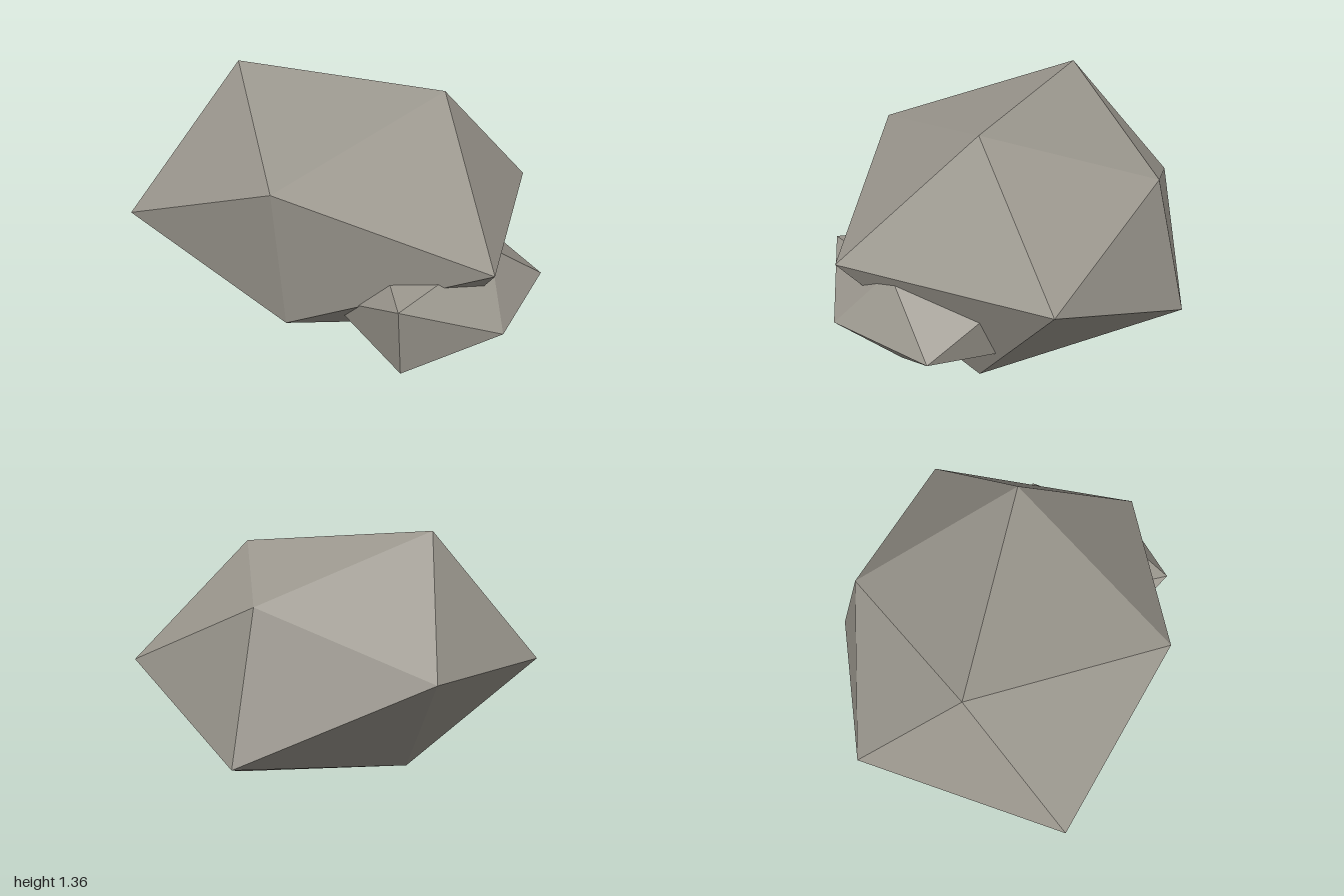
import * as THREE from 'three';

// The twenty triangles joining the twelve corners of an icosahedron
const FACES = [
  0, 11, 5, 0, 5, 1, 0, 1, 7, 0, 7, 10, 0, 10, 11,
  1, 5, 9, 5, 11, 4, 11, 10, 2, 10, 7, 6, 7, 1, 8,
  3, 9, 4, 3, 4, 2, 3, 2, 6, 3, 6, 8, 3, 8, 9,
  4, 9, 5, 2, 4, 11, 6, 2, 10, 8, 6, 7, 9, 8, 1,
];

// An uneven boulder: an icosahedron with each corner moved to its own place
function boulder(name, corners, material) {
  const indexed = new THREE.BufferGeometry();
  indexed.setAttribute('position', new THREE.Float32BufferAttribute(corners.flat(), 3));
  indexed.setIndex(FACES);
  const geometry = indexed.toNonIndexed();
  geometry.computeVertexNormals();
  const mesh = new THREE.Mesh(geometry, material);
  mesh.name = name;
  return mesh;
}

export function createModel() {
  const stone = new THREE.MeshStandardMaterial({ color: 0x9a968d, flatShading: true });
  stone.name = 'stone';

  const group = new THREE.Group();
  group.name = 'rocks';

  group.add(boulder('largeRock', [
    [-0.64, 1.355, 0], [0.455, 1.315, 0], [-0.52, 0.18, 0], [0.515, 0, 0], // top and bottom ridges
    [-0.08, 0.36, 0.77], [-0.08, 1.08, 0.87], [-0.08, 0.3, -0.88], [-0.08, 1.01, -0.7], // front and back
    [0.8, 0.695, -0.54], [0.85, 0.695, 0.58], [-0.89, 0.695, -0.5], [-1, 0.695, 0.58], // sides
  ], stone));

  group.add(boulder('smallRock', [
    [0.21, 0.66, 0.32], [0.78, 0.685, 0.32], [0.2, 0.135, 0.32], [0.74, 0.155, 0.32],
    [0.49, 0.225, 0.79], [0.49, 0.6, 0.855], [0.49, 0.21, -0.21], [0.49, 0.6, -0.25],
    [1, 0.4, -0.005], [0.91, 0.4, 0.58], [0.05, 0.4, 0], [0.07, 0.4, 0.58],
  ], stone));

  return group;
}
